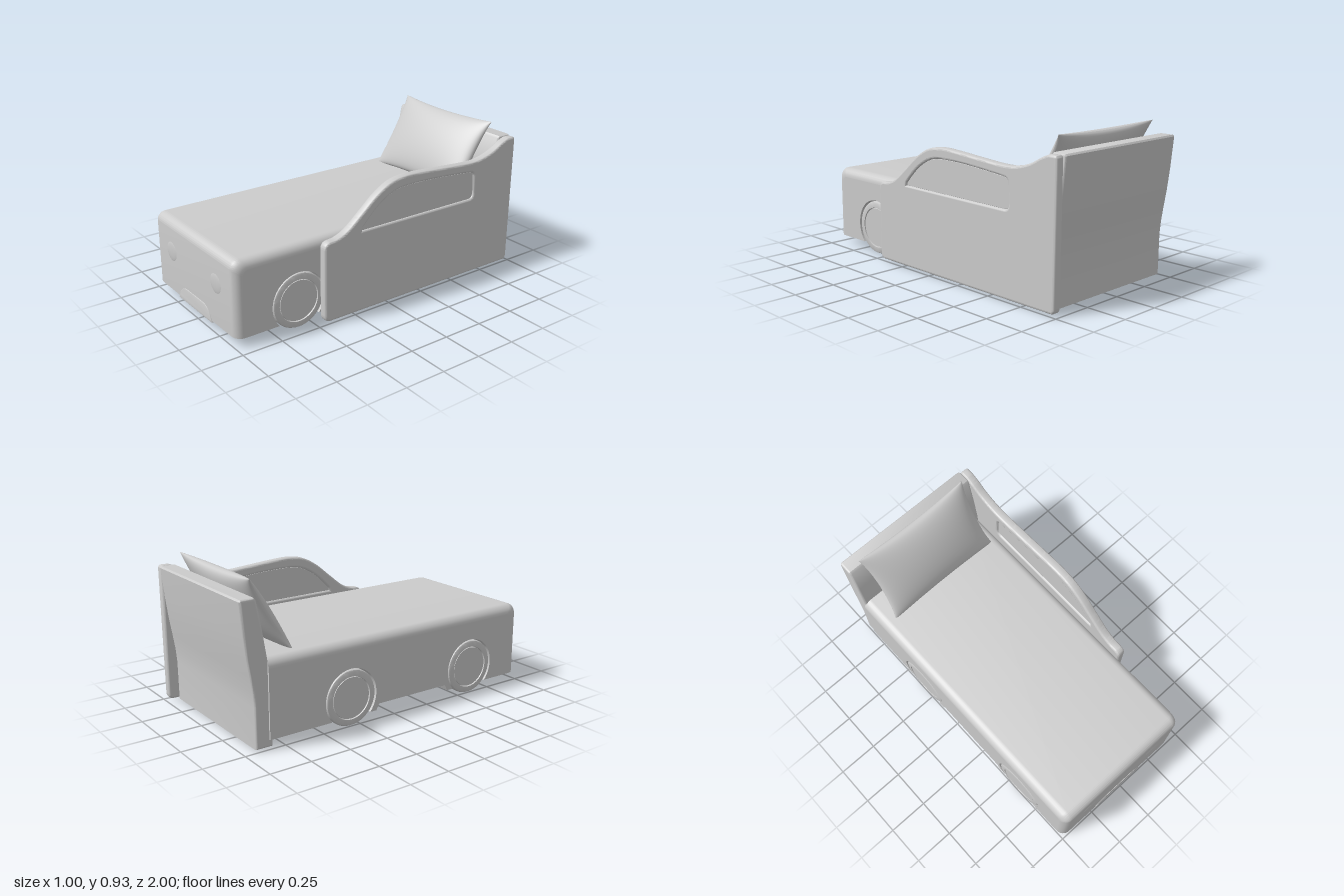
import * as THREE from 'three';
import { mergeGeometries, toCreasedNormals } from 'three/addons/utils/BufferGeometryUtils.js';

const MID = -0.035; // centre line of the bed body
const WHEEL_Y = 0.169;
const AXLES = [0.59, -0.31];

export function createModel() {
  const group = new THREE.Group();
  const material = new THREE.MeshStandardMaterial({ color: 0xcccccc });

  const add = (name, geometry, x = 0, y = 0, z = 0) => {
    const mesh = new THREE.Mesh(geometry, material);
    mesh.name = name;
    mesh.position.set(x, y, z);
    group.add(mesh);
    return mesh;
  };

  // side outlines are given as [z, y] and extruded along x
  const points = (list) => list.map(([z, y]) => new THREE.Vector2(-z, y));
  const sideExtrude = (shape, depth, bevel) => {
    const geometry = new THREE.ExtrudeGeometry(shape, {
      depth: depth - 2 * bevel, curveSegments: 12, bevelEnabled: true,
      bevelSize: bevel, bevelThickness: bevel, bevelOffset: -bevel, bevelSegments: 4,
    });
    geometry.translate(0, 0, bevel);
    geometry.rotateY(Math.PI / 2);
    return flatCaps(toCreasedNormals(geometry, 0.6));
  };

  add('bedBody', bodyGeometry(), -0.5);

  // wheels: one full-width roller per axle with a rim and hub at both ends
  const half = 0.466;
  const end = [
    [0, half - 0.003], [0.123, half - 0.003], [0.125, half - 0.013], [0.127, half - 0.013],
    [0.129, half], [0.156, half], [0.164, half - 0.004], [0.169, half - 0.014],
  ];
  const profile = [
    ...end.map(([r, h]) => new THREE.Vector2(r, -h)),
    ...end.slice().reverse().map(([r, h]) => new THREE.Vector2(r, h)),
  ];
  for (const z of AXLES) {
    const wheel = new THREE.LatheGeometry(profile, 48);
    wheel.rotateZ(-Math.PI / 2);
    add(z > 0 ? 'frontWheels' : 'rearWheels', toCreasedNormals(wheel, 0.5), MID, WHEEL_Y, z);
  }

  // headboard: upright below, leaning back towards the top
  const headboard = new THREE.Shape(points([
    [-1, 0.835], [-0.992, 0.845], [-0.912, 0.845], [-0.9, 0.832], [-0.868, 0.67], [-0.84, 0.5],
    [-0.825, 0.3], [-0.82, 0.008], [-0.925, 0.008], [-0.927, 0.25], [-0.934, 0.33],
    [-0.948, 0.42], [-0.965, 0.52], [-0.982, 0.65],
  ]));
  add('headboard', sideExtrude(headboard, 0.934, 0.014), -0.49);

  // side panel shaped like a car door, with a window opening
  const panel = new THREE.Shape();
  panel.moveTo(-0.42, 0.012);
  panel.lineTo(0.955, 0.012);
  panel.quadraticCurveTo(0.985, 0.012, 0.985, 0.045);
  panel.lineTo(0.99, 0.825);
  panel.quadraticCurveTo(0.988, 0.843, 0.97, 0.843);
  panel.lineTo(0.93, 0.842);
  panel.splineThru(points([
    [-0.88, 0.822], [-0.8, 0.78], [-0.7, 0.752], [-0.6, 0.747], [-0.4, 0.76], [-0.2, 0.774],
    [-0.1, 0.775], [0, 0.757], [0.1, 0.702], [0.2, 0.62], [0.3, 0.54], [0.37, 0.508], [0.42, 0.502],
  ]));
  panel.quadraticCurveTo(-0.46, 0.495, -0.46, 0.455);
  panel.lineTo(-0.46, 0.055);
  panel.quadraticCurveTo(-0.46, 0.012, -0.42, 0.012);

  const windowCurve = (path) => {
    path.moveTo(-0.2, 0.513);
    path.lineTo(0.62, 0.51);
    path.quadraticCurveTo(0.655, 0.51, 0.655, 0.55);
    path.lineTo(0.65, 0.655);
    path.quadraticCurveTo(0.648, 0.68, 0.62, 0.684);
    path.splineThru(points([
      [-0.5, 0.695], [-0.3, 0.709], [-0.1, 0.71], [0, 0.687], [0.1, 0.625], [0.195, 0.533],
    ]));
    path.lineTo(-0.2, 0.513);
    return path;
  };
  panel.holes.push(windowCurve(new THREE.Path()));
  add('sidePanel', sideExtrude(panel, 0.056, 0.014), 0.444);
  add('windowPane', sideExtrude(windowCurve(new THREE.Shape()), 0.034, 0.002), 0.455);

  // headlights, almost flush with the front
  for (const side of [-1, 1]) {
    const light = new THREE.SphereGeometry(0.064, 32, 20);
    light.scale(1, 1, 0.15);
    add(side < 0 ? 'rightHeadlight' : 'leftHeadlight', light, MID + side * 0.258, 0.312, 0.99);
  }

  // front grille, wrapping slightly under the body
  const grille = new THREE.Shape();
  grille.moveTo(-0.196, 0.042);
  grille.lineTo(0.196, 0.042);
  grille.bezierCurveTo(0.175, 0.1, 0.14, 0.131, 0.09, 0.131);
  grille.lineTo(-0.09, 0.131);
  grille.bezierCurveTo(-0.14, 0.131, -0.175, 0.1, -0.196, 0.042);
  const grilleGeometry = new THREE.ExtrudeGeometry(grille, {
    depth: 0.14, curveSegments: 12, bevelSize: 0.003, bevelThickness: 0.003, bevelOffset: -0.003, bevelSegments: 2,
  });
  add('grille', toCreasedNormals(grilleGeometry, 0.6), MID, 0, 0.855);

  // pillow leaning on the headboard
  const pillow = add('pillow', pillowGeometry(0.4, 0.25, 0.075), -0.015, 0.712, -0.767);
  pillow.rotation.x = -0.54;

  return group;
}

// Keeps the flat sides of an extruded part free of shading from its rounded edge
function flatCaps(geometry) {
  const p = geometry.attributes.position, n = geometry.attributes.normal;
  const triangle = new THREE.Triangle(), normal = new THREE.Vector3();
  for (let i = 0; i < p.count; i += 3) {
    triangle.setFromAttributeAndIndices(p, i, i + 1, i + 2);
    triangle.getNormal(normal);
    if (Math.abs(normal.x) < 0.999) continue;
    for (let k = i; k < i + 3; k++) n.setXYZ(k, Math.sign(normal.x), 0, 0);
  }
  return geometry;
}

// Body: side outline with wheel arches; top and front edges are rounded towards both sides
function bodyGeometry() {
  const front = 0.994, top = 0.507, bottom = 0.053, width = 0.932, radius = 0.055, rows = 6;
  const arch = 0.176;
  const angle = Math.asin((WHEEL_Y - bottom) / arch);
  const reach = arch * Math.cos(angle) + 0.045;
  const shape = new THREE.Shape();
  shape.moveTo(-front, bottom);
  shape.absarc(-AXLES[0], WHEEL_Y, arch, Math.PI + angle, -angle, true);
  // raised sill between the arches
  shape.lineTo(-AXLES[0] + reach, bottom);
  shape.lineTo(-AXLES[0] + reach + 0.02, 0.09);
  shape.lineTo(-AXLES[1] - reach - 0.02, 0.09);
  shape.lineTo(-AXLES[1] - reach, bottom);
  shape.absarc(-AXLES[1], WHEEL_Y, arch, Math.PI + angle, -angle, true);
  shape.lineTo(0.845, bottom);
  shape.lineTo(0.845, top);
  shape.lineTo(-front + radius, top);
  shape.absarc(-front + radius, top - radius, radius, Math.PI / 2, Math.PI, false);
  shape.lineTo(-front, bottom);

  const steps = 2 * rows + 1;
  const geometry = new THREE.ExtrudeGeometry(shape, { depth: 1, steps, curveSegments: 20, bevelEnabled: false });
  geometry.rotateY(Math.PI / 2);
  const p = geometry.attributes.position;
  for (let i = 0; i < p.count; i++) {
    const step = Math.round(p.getX(i) * steps);
    const a = (Math.min(step, steps - step) / rows) * Math.PI / 2;
    const d = radius * (1 - Math.cos(a));
    const inset = radius * (1 - Math.sin(a));
    const y = p.getY(i), z = p.getZ(i);
    p.setXYZ(i,
      step <= rows ? d : width - d,
      y - inset * Math.max(0, (y - 0.38) / (top - 0.38)),
      z - inset * Math.max(0, (z - 0.8) / (front - 0.8)));
  }
  return flatCaps(toCreasedNormals(geometry, 0.6));
}

// Pillow: two bulging sheets with drawn-out corners
function pillowGeometry(w, h, t) {
  const sheet = () => {
    const geometry = new THREE.PlaneGeometry(2, 2, 36, 30);
    const p = geometry.attributes.position;
    for (let i = 0; i < p.count; i++) {
      const u = Math.sin(p.getX(i) * Math.PI / 2), v = Math.sin(p.getY(i) * Math.PI / 2);
      const fu = Math.max(0, 1 - u * u), fv = Math.max(0, 1 - v * v);
      p.setXYZ(i, w * u * (1 - 0.075 * Math.pow(fv, 0.7)), h * v * (1 - 0.08 * fu), t * Math.pow(fu * fv, 0.45));
    }
    geometry.computeVertexNormals();
    return geometry;
  };
  return mergeGeometries([sheet(), sheet().rotateY(Math.PI)]);
}
